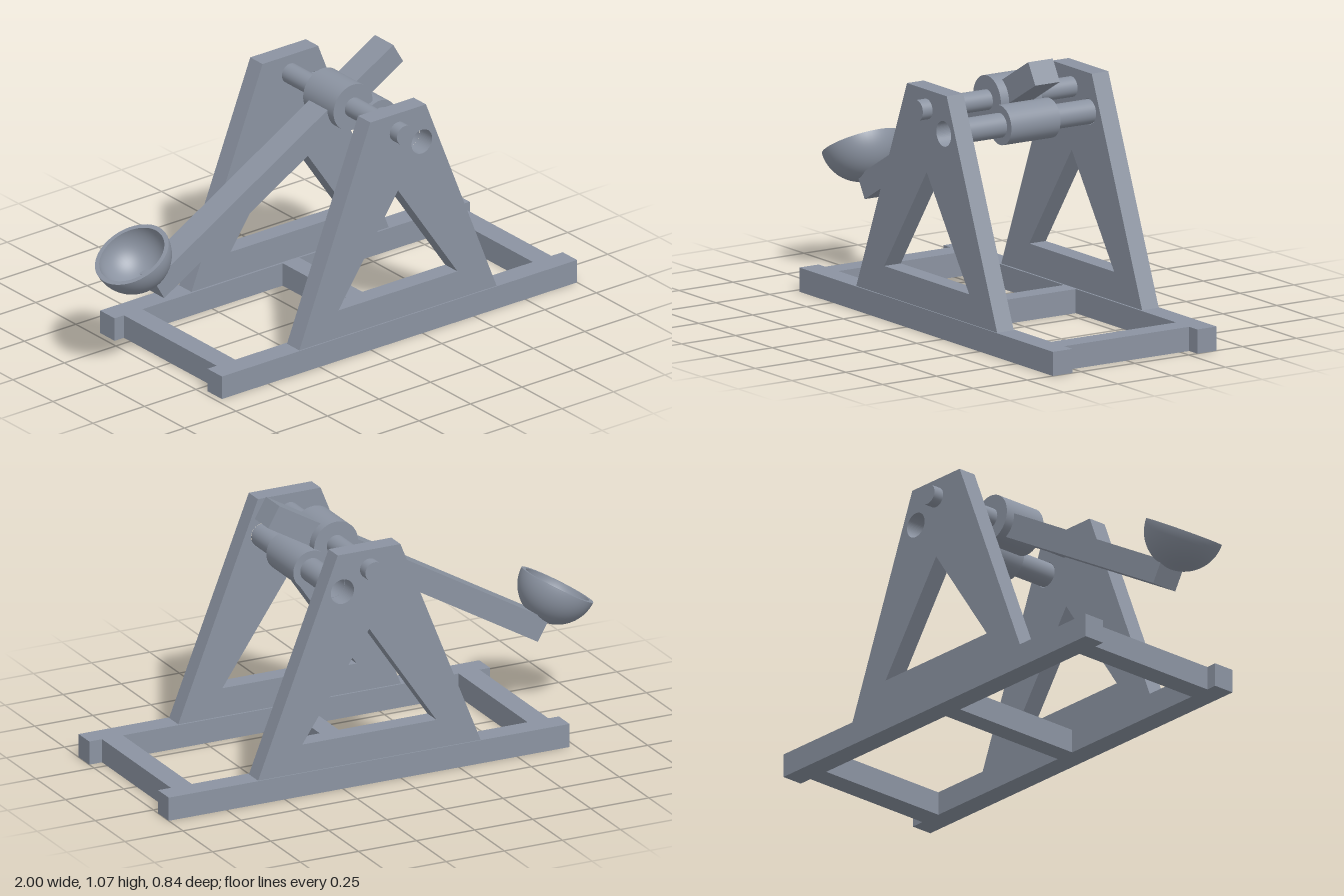
import * as THREE from 'three';

export function createModel() {
  const model = new THREE.Group();
  model.name = 'catapult';
  const steel = new THREE.MeshStandardMaterial({ color: 0x8b93a1, side: THREE.DoubleSide });
  steel.name = 'slate grey';

  const add = (name, geometry, x = 0, y = 0, z = 0, parent = model) => {
    const mesh = new THREE.Mesh(geometry, steel);
    mesh.name = name;
    mesh.position.set(x, y, z);
    parent.add(mesh);
    return mesh;
  };
  const box = (w, h, d) => new THREE.BoxGeometry(w, h, d);
  // cylinder lying along z
  const rod = (r, length, open = false) =>
    new THREE.CylinderGeometry(r, r, length, 40, 1, open).rotateX(Math.PI / 2);

  // base: two long rails joined by three cross beams
  const baseH = 0.095;
  for (const s of [-1, 1]) add(s > 0 ? 'frontRail' : 'backRail', box(1.725, baseH, 0.09), 0.1375, baseH / 2, s * 0.335);
  for (const [name, x, w] of [['rightBeam', -0.635, 0.09], ['middleBeam', 0.132, 0.082], ['leftBeam', 0.9, 0.09]]) {
    add(name, box(w, baseH, 0.58), x, baseH / 2, 0);
  }

  // side frames: trapezoids with a triangular window and a round hole
  const poly = (Type, pts) => new Type(pts.map(([x, y]) => new THREE.Vector2(x, y)));
  const frame = poly(THREE.Shape, [[-0.345, baseH], [0.613, baseH], [0.27, 0.96], [0, 0.96]]);
  const roundHole = new THREE.Path();
  roundHole.absarc(0.25, 0.808, 0.05, 0, Math.PI * 2, true);
  frame.holes.push(poly(THREE.Path, [[-0.155, 0.21], [0.134, 0.635], [0.423, 0.21]]), roundHole);
  const frameGeometry = new THREE.ExtrudeGeometry(frame, { depth: 0.077, bevelEnabled: false, curveSegments: 32 });
  add('frontFrame', frameGeometry, 0, 0, 0.298);
  add('backFrame', frameGeometry, 0, 0, -0.375);

  // pivot axle with its hub
  add('axle', rod(0.04, 0.84), 0.134, 0.884, 0);
  add('axleHub', rod(0.095, 0.19), 0.134, 0.884, 0);

  // hollow stop bar with a thicker sleeve
  const stop = new THREE.Group();
  stop.name = 'stopBar';
  stop.position.set(0.25, 0.808, 0);
  model.add(stop);
  add('stopTube', rod(0.048, 0.6, true), 0, 0, 0, stop);
  add('stopSleeve', rod(0.078, 0.228, true), 0, 0, 0, stop);
  for (const s of [-1, 1]) {
    const cap = add('sleeveEnd', new THREE.RingGeometry(0.048, 0.078, 40), 0, 0, s * 0.114, stop);
    if (s < 0) cap.rotation.y = Math.PI;
  }

  // throwing arm, tilted 30 degrees
  const tilt = Math.PI / 6;
  add('arm', box(1.34, 0.096, 0.114), -0.1975, 0.6925, 0).rotation.z = tilt;

  // hollow half-round cup at the low end of the arm
  const cup = new THREE.Group();
  cup.name = 'cup';
  cup.position.set(-0.867, 0.512, 0);
  cup.rotation.z = tilt;
  model.add(cup);
  const R = 0.154, r = 0.136;
  const bowl = (radius) => new THREE.SphereGeometry(radius, 48, 20, 0, Math.PI * 2, Math.PI / 2, Math.PI / 2);
  add('cupOutside', bowl(R), 0, 0, 0, cup);
  add('cupInside', bowl(r), 0, 0, 0, cup);
  add('cupRim', new THREE.RingGeometry(r, R, 48).rotateX(-Math.PI / 2), 0, 0, 0, cup);

  return model;
}
